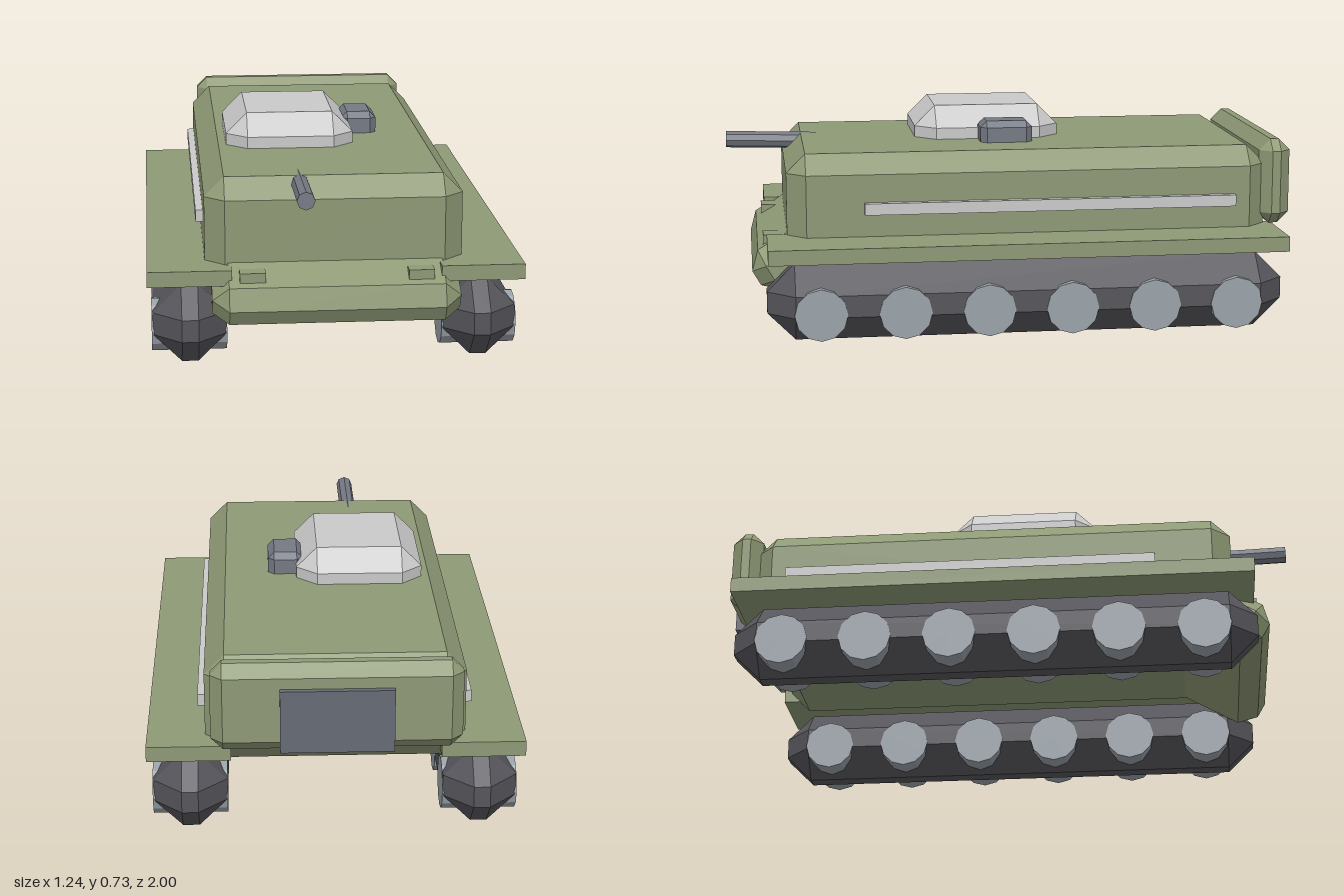
import * as THREE from 'three';
import { ConvexGeometry } from 'three/addons/geometries/ConvexGeometry.js';

const mat = (name, color) => {
  const m = new THREE.MeshStandardMaterial({ color, flatShading: true });
  m.name = name;
  return m;
};

// Box with every edge and corner cut at 45 degrees
function chamferBox(w, h, d, c) {
  const pts = [];
  const x = w / 2, y = h / 2, z = d / 2;
  for (const i of [-1, 1]) for (const j of [-1, 1]) for (const k of [-1, 1]) {
    pts.push(
      new THREE.Vector3(i * x, j * (y - c), k * (z - c)),
      new THREE.Vector3(i * (x - c), j * y, k * (z - c)),
      new THREE.Vector3(i * (x - c), j * (y - c), k * z)
    );
  }
  return new ConvexGeometry(pts);
}

export function createModel() {
  const model = new THREE.Group();
  model.name = 'tank';
  const green = mat('olive green', 0x8e9975);
  const pale = mat('pale grey', 0xcacaca);
  const steel = mat('steel grey', 0x757983);
  const plateGrey = mat('dark steel', 0x666b74);
  const trackGrey = mat('track grey', 0x56555b);
  const wheelGrey = mat('wheel grey', 0x9aa2a9);

  const add = (name, geo, material, x, y, z) => {
    const m = new THREE.Mesh(geo, material);
    m.name = name;
    m.position.set(x, y, z);
    model.add(m);
    return m;
  };
  // Part given by its limits on each axis; c is the chamfer
  const block = (name, material, [x0, x1], [y0, y1], [z0, z1], c = 0) => {
    const s = [x1 - x0, y1 - y0, z1 - z0];
    const geo = c ? chamferBox(...s, c) : new THREE.BoxGeometry(...s);
    return add(name, geo, material, (x0 + x1) / 2, (y0 + y1) / 2, (z0 + z1) / 2);
  };

  // Hull, sloped nose and rear
  block('hull', green, [-0.43, 0.43], [0.25, 0.617], [-0.89, 0.795], 0.066);
  const nose = add('nosePlate', chamferBox(0.82, 0.168, 0.4, 0.055), green, 0, 0.283, 0.729);
  nose.rotation.x = Math.PI / 6;
  block('rearPlate', green, [-0.41, 0.41], [0.335, 0.637], [-0.98, -0.87], 0.04);
  block('rearPanel', plateGrey, [-0.185, 0.185], [0.345, 0.56], [-1, -0.96]);

  // Turret, hatch and gun
  block('turret', pale, [-0.337, 0.11], [0.53, 0.73], [-0.197, 0.322], 0.073);
  block('hatch', steel, [0.085, 0.21], [0.58, 0.692], [-0.085, 0.1], 0.022);
  const gunGeo = new THREE.CylinderGeometry(0.03, 0.03, 0.6, 8).rotateX(Math.PI / 2);
  const gun = add('gunBarrel', gunGeo, steel, -0.113, 0.589, 0.7);
  gun.rotation.x = -0.03;

  // Running gear and side fittings, mirrored
  const wheelGeo = new THREE.CylinderGeometry(0.09, 0.09, 0.25, 12).rotateZ(Math.PI / 2);
  for (const s of [-1, 1]) {
    const span = (a, b) => (s > 0 ? [a, b] : [-b, -a]);
    block('fender', green, span(0.345, 0.622), [0.283, 0.335], [-0.92, 0.865]);
    block('sideRail', pale, span(0.42, 0.454), [0.414, 0.454], [-0.77, 0.53]);
    block('headlight', green, span(0.235, 0.32), [0.29, 0.327], [0.78, 0.877]);
    block('track', trackGrey, span(0.36, 0.605), [0, 0.265], [-0.92, 0.87], 0.095);
    for (let i = 0; i < 6; i++) {
      add('roadWheel', wheelGeo, wheelGrey, s * 0.484, 0.105, 0.69 - i * 0.286);
    }
  }
  return model;
}
